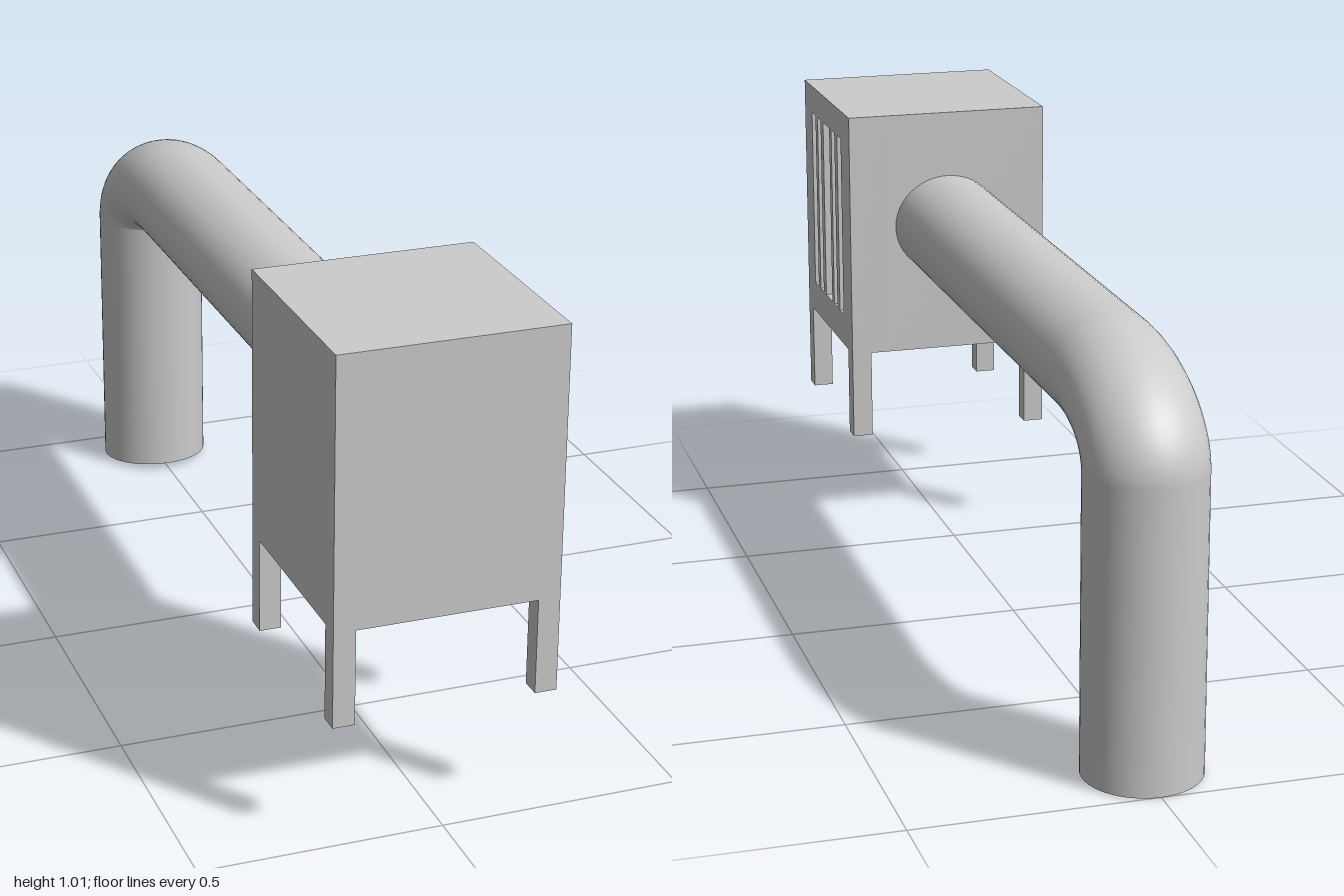
import * as THREE from 'three';

const material = new THREE.MeshStandardMaterial({ color: 0xcccccc });
const pipeMaterial = new THREE.MeshStandardMaterial({ color: 0xcccccc, side: THREE.DoubleSide });

function box(name, x0, x1, y0, y1, z0, z1) {
  const mesh = new THREE.Mesh(new THREE.BoxGeometry(x1 - x0, y1 - y0, z1 - z0), material);
  mesh.position.set((x0 + x1) / 2, (y0 + y1) / 2, (z0 + z1) / 2);
  mesh.name = name;
  return mesh;
}

function rectPath(target, u0, u1, v0, v1) {
  target.moveTo(u0, v0);
  target.lineTo(u1, v0);
  target.lineTo(u1, v1);
  target.lineTo(u0, v1);
  target.closePath();
  return target;
}

// Side panel cut by vertical vent slots, extruded along x
function ventPanel(depth) {
  const shape = rectPath(new THREE.Shape(), -1, -0.54, 0.457, 1.015);
  const slots = [[0.888, 0.925], [0.834, 0.866], [0.743, 0.807], [0.69, 0.722], [0.626, 0.663]];
  for (const [z0, z1] of slots) {
    shape.holes.push(rectPath(new THREE.Path(), -z1, -z0, 0.53, 0.95));
  }
  const geometry = new THREE.ExtrudeGeometry(shape, { depth, bevelEnabled: false });
  geometry.rotateY(Math.PI / 2);
  const mesh = new THREE.Mesh(geometry, material);
  mesh.name = 'ventPanel';
  mesh.position.x = 0.23 - depth;
  return mesh;
}

// Open pipe: each ring spans an outer and an inner bend point given as [z, y]
function pipeGeometry() {
  const sides = 48, bendSteps = 20, halfWidth = 0.123;
  const rings = [[[0.54, 0.867], [0.54, 0.64]]];
  for (let i = 0; i <= bendSteps; i++) {
    const t = (i / bendSteps) * Math.PI / 2;
    rings.push([
      [-0.62 - 0.38 * Math.sin(t), 0.62 + 0.247 * Math.cos(t)],
      [-0.62 - 0.15 * Math.sin(t), 0.622 + 0.018 * Math.cos(t)],
    ]);
  }
  rings.push([[-1, 0], [-0.77, 0.012]]);

  const positions = [], indices = [];
  rings.forEach(([outer, inner], r) => {
    for (let s = 0; s < sides; s++) {
      const a = (s / sides) * Math.PI * 2;
      const k = (1 + Math.sin(a)) / 2;
      positions.push(
        halfWidth * Math.cos(a),
        THREE.MathUtils.lerp(inner[1], outer[1], k),
        THREE.MathUtils.lerp(inner[0], outer[0], k)
      );
      if (r < rings.length - 1) {
        const p = r * sides + s, q = r * sides + (s + 1) % sides;
        indices.push(p, p + sides, q, q, p + sides, q + sides);
      }
    }
  });
  const geometry = new THREE.BufferGeometry();
  geometry.setAttribute('position', new THREE.Float32BufferAttribute(positions, 3));
  geometry.setIndex(indices);
  geometry.computeVertexNormals();
  return geometry;
}

export function createModel() {
  const model = new THREE.Group();
  model.name = 'ventUnitWithDuct';

  // Housing: solid block plus slotted panel on the left side
  const ventDepth = 0.08;
  const housing = new THREE.Group();
  housing.name = 'housing';
  housing.add(box('housingBlock', -0.23, 0.23 - ventDepth, 0.457, 1.015, 0.54, 1));
  housing.add(ventPanel(ventDepth));
  model.add(housing);

  // Four corner legs
  for (const x of [-0.23, 0.185]) {
    for (const z of [0.54, 0.957]) {
      model.add(box(z > 0.7 ? 'frontLeg' : 'backLeg', x, x + 0.045, 0.257, 0.457, z, z + 0.043));
    }
  }

  // Bent duct running back and down to the ground
  const pipe = new THREE.Mesh(pipeGeometry(), pipeMaterial);
  pipe.name = 'ductPipe';
  model.add(pipe);

  return model;
}
